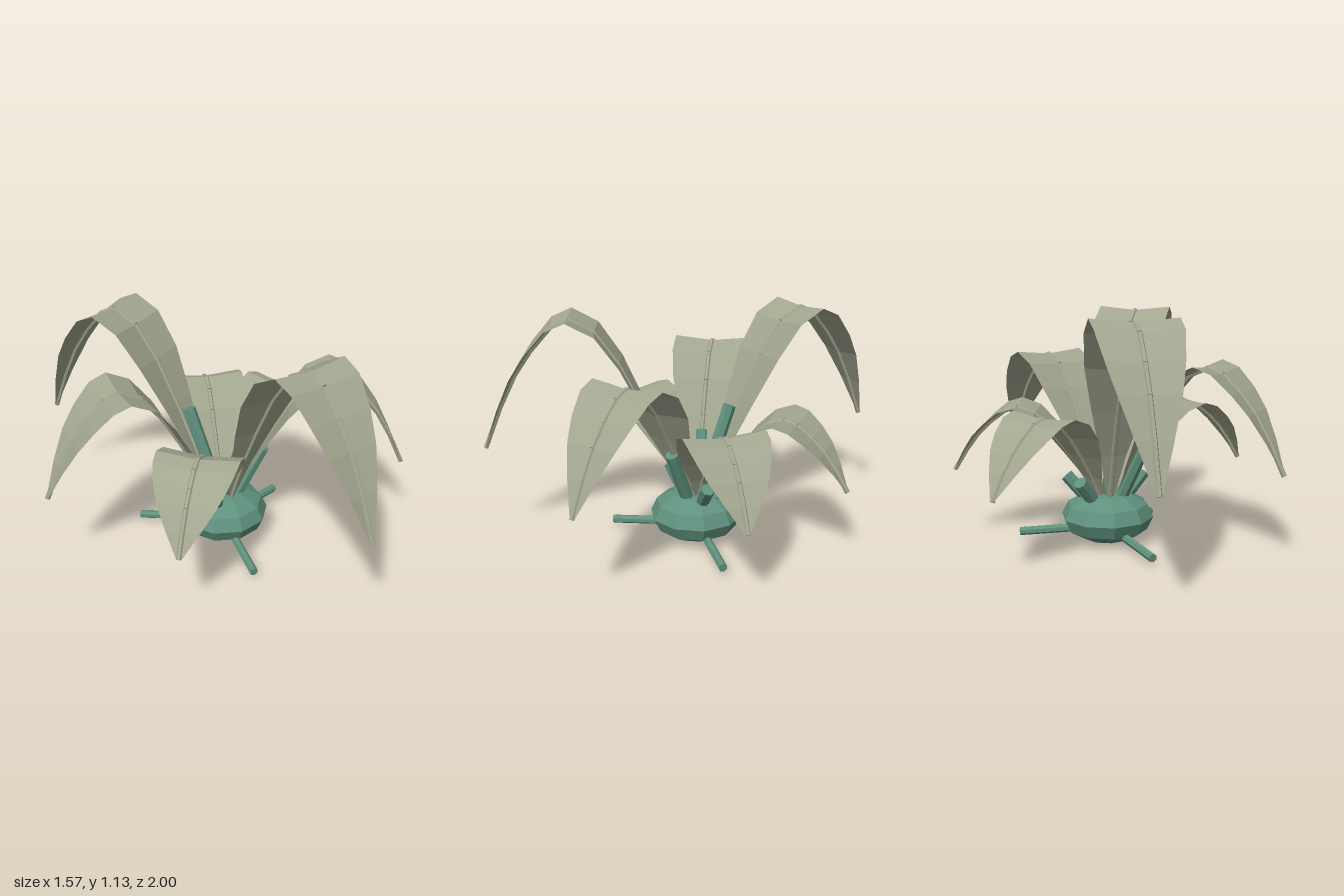
import * as THREE from 'three';

const leafMat = new THREE.MeshStandardMaterial({ color: 0xa2a68f, flatShading: true, side: THREE.DoubleSide });
leafMat.name = 'sage leaf';
const stemMat = new THREE.MeshStandardMaterial({ color: 0x5f917e, flatShading: true });
stemMat.name = 'teal stem';

// Cylinder running from point a to point b
function rod(name, a, b, radius, sides, material) {
  const dir = b.clone().sub(a);
  const mesh = new THREE.Mesh(new THREE.CylinderGeometry(radius, radius, dir.length(), sides), material);
  mesh.name = name;
  mesh.position.copy(a).add(b).multiplyScalar(0.5);
  mesh.quaternion.setFromUnitVectors(new THREE.Vector3(0, 1, 0), dir.normalize());
  return mesh;
}

// Leaf rows: [distance along length, height fraction, half width]
const ROWS = [
  [0.065, 0, 0.015], [0.155, 0.27, 0.062], [0.255, 0.52, 0.12], [0.36, 0.755, 0.17],
  [0.47, 0.93, 0.191], [0.585, 1.0, 0.193], [0.665, 0.96, 0.187], [0.76, 0.84, 0.163],
  [0.84, 0.71, 0.13], [0.92, 0.53, 0.077], [1.0, 0.31, 0.012],
];

// Arching leaf pointing along +x, with a shallow fold and a raised midrib
function makeLeaf(length, height) {
  const leaf = new THREE.Group();
  const last = ROWS.length - 1;
  const spine = ROWS.map(([s, p]) => new THREE.Vector3(s * length, 0.22 + p * height, 0));
  const pos = [], index = [];
  ROWS.forEach(([, , w], i) => {
    const { x, y } = spine[i];
    const t = spine[Math.min(i + 1, last)].clone().sub(spine[Math.max(i - 1, 0)]).normalize();
    for (const side of [-1, 0, 1]) {
      const lift = Math.abs(side) * w * 0.1;
      pos.push(x - t.y * lift, y + t.x * lift, side * w);
    }
    if (i === 0) return;
    for (let j = 0; j < 2; j++) {
      const a = (i - 1) * 3 + j, b = a + 1, c = a + 3, d = a + 4;
      index.push(a, b, c, b, d, c);
    }
  });
  const geo = new THREE.BufferGeometry();
  geo.setAttribute('position', new THREE.Float32BufferAttribute(pos, 3));
  geo.setIndex(index);
  geo.computeVertexNormals();
  const blade = new THREE.Mesh(geo, leafMat);
  blade.name = 'leafBlade';
  leaf.add(blade);
  for (let i = 1; i <= last; i++) {
    leaf.add(rod('leafMidrib', spine[i - 1], spine[i], 0.012, 6, leafMat));
  }
  return leaf;
}

export function createModel() {
  const model = new THREE.Group();
  model.name = 'bulbPlant';
  const plant = new THREE.Group();
  plant.name = 'plant';
  plant.position.x = 0.025;
  model.add(plant);

  // Squashed faceted bulb
  const bulb = new THREE.Mesh(new THREE.SphereGeometry(0.23, 10, 6), stemMat);
  bulb.name = 'bulb';
  bulb.scale.y = 0.56;
  bulb.position.y = 0.132;
  bulb.rotation.y = -0.12;
  plant.add(bulb);

  // Seven leaves, each with a stalk, in three repeating sizes
  for (let i = 0; i < 7; i++) {
    const size = i % 3;
    const sector = new THREE.Group();
    sector.name = 'leafSector' + i;
    sector.rotation.y = -i * Math.PI * 2 / 7;
    const leaf = makeLeaf(0.755 + 0.13 * size, 0.455 + 0.222 * size);
    leaf.name = 'leaf';
    sector.add(leaf);
    // The tallest stalks stand closer to the middle, inside their leaves
    sector.add(rod('stalk', new THREE.Vector3(size === 2 ? -0.01 : 0.03, 0.14, 0),
      new THREE.Vector3(size === 2 ? 0.188 : 0.2, 0.335 + 0.165 * size, 0), 0.033, 7, stemMat));
    plant.add(sector);
  }

  // Three roots spreading near the ground
  for (let i = 0; i < 3; i++) {
    const root = new THREE.Group();
    root.name = 'rootArm' + i;
    root.rotation.y = i * Math.PI * 2 / 3;
    root.add(rod('root', new THREE.Vector3(0.05, 0.075, 0), new THREE.Vector3(0.438, 0.043, 0), 0.021, 7, stemMat));
    plant.add(root);
  }
  return model;
}
